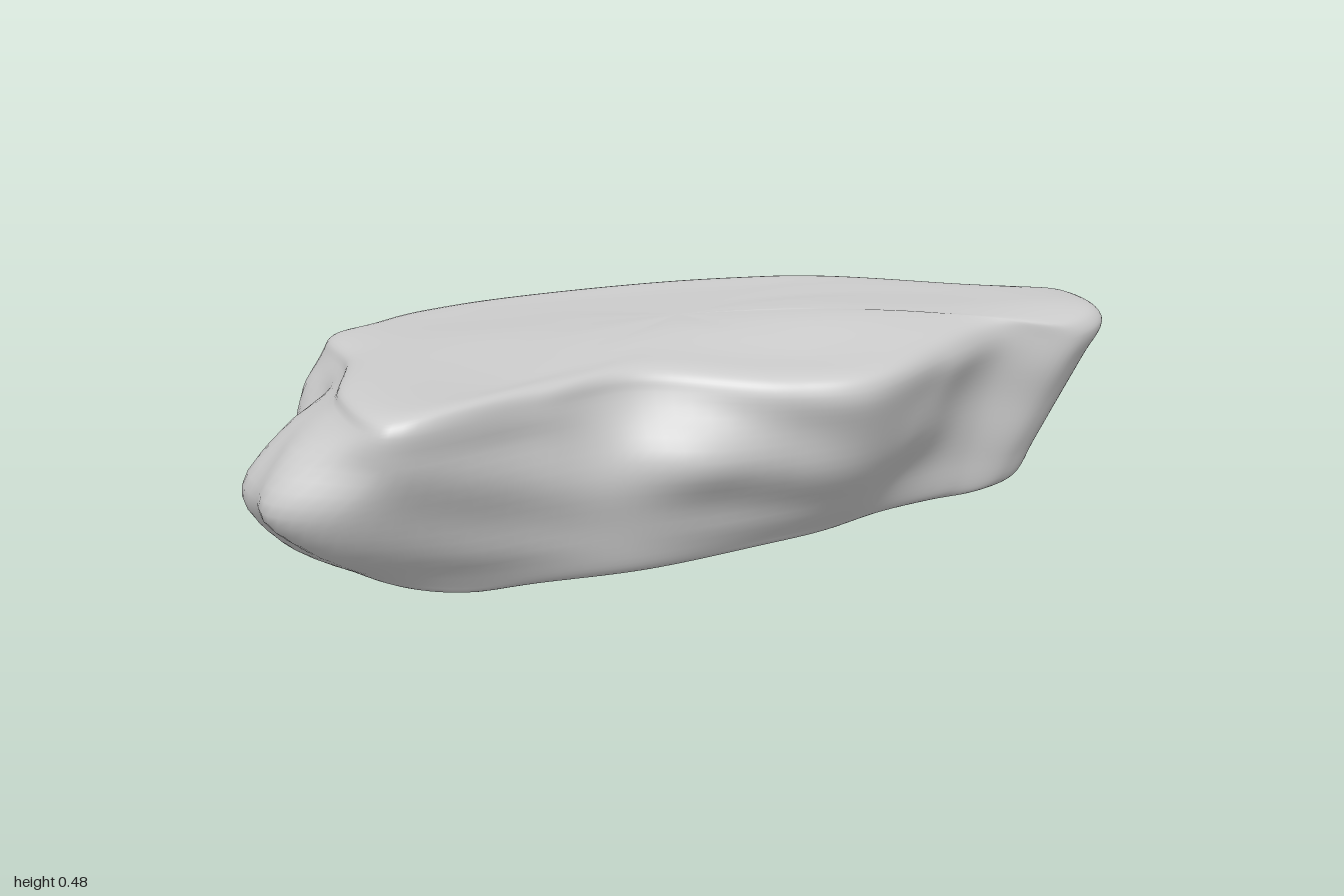
import * as THREE from 'three';
import { mergeVertices } from 'three/addons/utils/BufferGeometryUtils.js';

const { smoothstep, lerp } = THREE.MathUtils;
const AROUND = 171, UP = 60;

// Plan outlines (x, z) of the base and the upper rim, starting at the right
// end and running along the front, the left end and the back.
const base = [[.82, -.13], [.81, .03], [.74, .07], [.62, .08], [.45, .11], [.27, .17], [.1, .2], [-.2, .24],
  [-.45, .22], [-.74, .2], [-.82, .1], [-.8, -.08], [-.76, -.29], [-.5, -.385], [-.25, -.395],
  [.1, -.355], [.4, -.28], [.66, -.19], [.78, -.16]];
const rim = [[1, -.08], [1, .06], [.9, .13], [.7, .12], [.52, .21], [.28, .345], [.1, .325], [-.2, .23],
  [-.45, .31], [-.77, .39], [-.82, .18], [-.75, -.05], [-.74, -.24], [-.5, -.32], [-.25, -.345],
  [.1, -.33], [.4, -.27], [.75, -.19], [.95, -.12]];

// Top face sloping down to the right and to the front, with a low hump
const topY = (x, z) => 0.474 - 0.045 * smoothstep(x, 0.3, 0.9)
  - 0.05 * smoothstep(z, 0, 0.32) * smoothstep(x, -0.7, 0.2)
  + 0.012 * Math.exp(-((x + 0.38) ** 2 + (z + 0.03) ** 2) / 0.03);

// Underside curling up toward the left end and the long edges
const baseY = (x, z) => 0.003 + 0.05 * smoothstep(-x, 0.52, 0.85)
  + 0.015 * smoothstep(Math.abs(z), 0.15, 0.4);

// Smooth closed ring through an outline
function smoothRing(outline) {
  const pts = outline.map(([x, z]) => new THREE.Vector3(x, 0, z));
  const curve = new THREE.CatmullRomCurve3(pts, true);
  return Array.from({ length: AROUND }, (_, j) => curve.getPoint(j / AROUND));
}

// Side ring at t between base (0) and rim (1), with the swellings between them
function sideRing(low, high, t) {
  const swell = Math.sin(Math.PI * t);
  return low.map((a, j) => {
    const v = a.clone().lerp(high[j], t);
    const { x, z } = v;
    // blunt knob at the left end
    v.x -= 0.175 * swell * smoothstep(-x, 0.6, 0.78) * Math.exp(-(((z - 0.13) / 0.19) ** 4));
    // shoulder at the back left corner
    v.x -= 0.05 * swell * smoothstep(-x, 0.6, 0.74) * smoothstep(-z, 0, 0.15);
    // bulging front and hollow back
    v.z += swell * (0.035 * smoothstep(z, 0.1, 0.2) + 0.042 * smoothstep(-z, 0.2, 0.34));
    v.y = lerp(baseY(a.x, a.z) + 0.025, topY(high[j].x, high[j].z) - 0.04, t);
    return v;
  });
}

// A ring shrunk toward the middle, laid on the top face or underside
const shrink = (ring, s, height, lift = 0) => ring.map((v) => {
  const x = v.x * s, z = -0.06 + (v.z + 0.06) * s;
  return new THREE.Vector3(x, height(x, z) + lift, z);
});

// Weathering of the sides, fading out at the base and rim
function weather(v) {
  const { x, y, z } = v;
  const fade = smoothstep(y, 0.05, 0.13) * (1 - smoothstep(y, 0.36, 0.42));
  const front = smoothstep(z, 0.05, 0.2);
  // shallow slanting folds on the front and left end
  v.z += 0.007 * fade * front * Math.sin(y * 32 + x * 9) * Math.sin(x * 5 + 1.3);
  v.x += 0.01 * fade * smoothstep(-x, 0.65, 0.8) * Math.sin(z * 30 + y * 12);
  // belly below the notch in the front rim
  v.z += 0.055 * front * Math.exp(-(((x + 0.12) / 0.15) ** 2) - ((y - 0.27) / 0.1) ** 2);
  // crevice in the back left corner
  const d = ((x + 0.66) / 0.08) ** 2 + ((z + 0.3) / 0.07) ** 2;
  v.z += 0.035 * Math.exp(-d) * smoothstep(y, 0.2, 0.33);
  return v;
}

function rockGeometry() {
  const low = smoothRing(base), high = smoothRing(rim);
  const rings = [
    ...[0, 0.45, 0.8].map((s) => shrink(low, s, baseY)),
    shrink(low, 0.94, baseY, 0.004),
    ...[0, 0.2, 0.5, 0.8, 1].map((t) => sideRing(low, high, t)),
    shrink(high, 0.98, topY, -0.014),
    ...[0.92, 0.65, 0.3, 0].map((s) => shrink(high, s, topY)),
  ];

  // Loft each column of points from the underside centre to the top centre
  const position = [], index = [];
  for (let j = 0; j < AROUND; j++) {
    const column = new THREE.CatmullRomCurve3(rings.map((r) => r[j]));
    for (let i = 0; i <= UP; i++) {
      const v = weather(column.getPoint(i / UP));
      position.push(v.x, Math.max(0, v.y), v.z);
      if (i === UP) continue;
      const a = j * (UP + 1) + i, b = ((j + 1) % AROUND) * (UP + 1) + i;
      index.push(a, a + 1, b, b, a + 1, b + 1);
    }
  }
  const geometry = new THREE.BufferGeometry();
  geometry.setAttribute('position', new THREE.Float32BufferAttribute(position, 3));
  geometry.setIndex(index);
  const merged = mergeVertices(geometry, 1e-5);
  merged.computeVertexNormals();
  return merged;
}

export function createModel() {
  const group = new THREE.Group();
  group.name = 'rock';
  const slab = new THREE.Mesh(rockGeometry(), new THREE.MeshStandardMaterial({ color: 0xcccccc }));
  slab.name = 'rockSlab';
  group.add(slab);
  return group;
}
